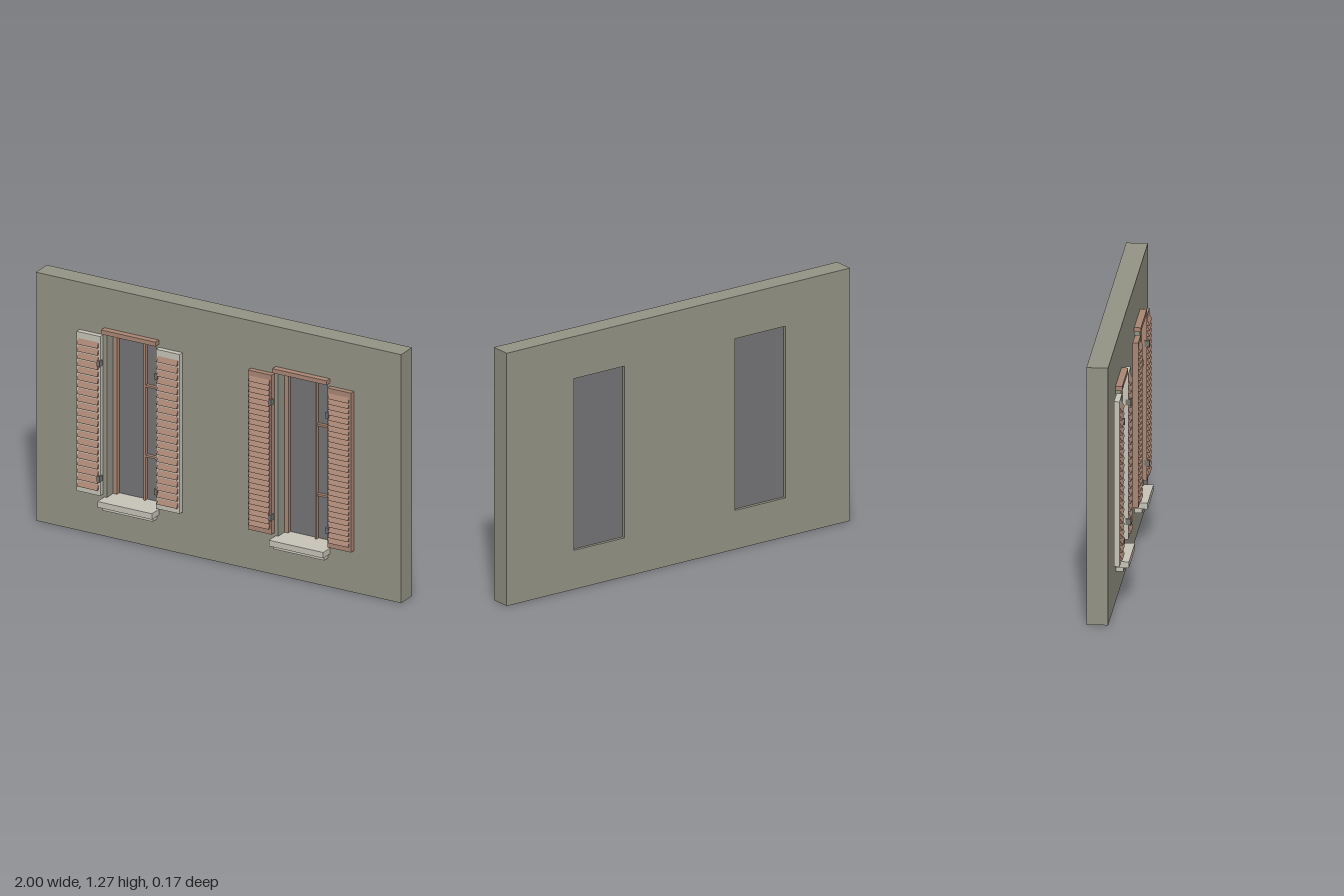
import * as THREE from 'three';

const mat = (name, color) => {
  const m = new THREE.MeshStandardMaterial({ color });
  m.name = name;
  return m;
};

export function createModel() {
  const wallMat = mat('olive grey plaster', 0x929284);
  const wood = mat('terracotta wood', 0xa98674);
  const stone = mat('pale stone', 0xc6c3b7);
  const glass = mat('grey glass', 0x747476);
  const iron = mat('hinge grey', 0x75736e);

  const model = new THREE.Group();
  model.name = 'shutteredWall';

  // Box given by its min and max corners
  const box = (parent, name, m, x0, x1, y0, y1, z0, z1) => {
    const mesh = new THREE.Mesh(new THREE.BoxGeometry(x1 - x0, y1 - y0, z1 - z0), m);
    mesh.position.set((x0 + x1) / 2, (y0 + y1) / 2, (z0 + z1) / 2);
    mesh.name = name;
    parent.add(mesh);
    return mesh;
  };

  const FRONT = 0.02, BACK = -0.083, TOP = 1.272;
  const OPEN = 0.147, JAMB = 0.135, FRAME = 0.114, SILL = 0.2, HEAD = 1.06;
  const centres = [-0.476, 0.462];

  // Wall slab with two window openings
  const slab = new THREE.Shape();
  slab.moveTo(-1, 0).lineTo(1, 0).lineTo(1, TOP).lineTo(-1, TOP).closePath();
  for (const c of centres) {
    const hole = new THREE.Path();
    hole.moveTo(c - OPEN, SILL - 0.004).lineTo(c - OPEN, HEAD).lineTo(c + OPEN, HEAD)
      .lineTo(c + OPEN, SILL - 0.004).closePath();
    slab.holes.push(hole);
  }
  const wall = new THREE.Mesh(
    new THREE.ExtrudeGeometry(slab, { depth: FRONT - BACK, bevelEnabled: false }), wallMat);
  wall.position.z = BACK;
  wall.name = 'wall';
  model.add(wall);

  // Wedge-shaped slat running along x, its lower edge leaning outwards
  const slatGeometry = (width, height) => {
    const s = new THREE.Shape();
    s.moveTo(0.05, 0).lineTo(0.064, 0).lineTo(0.064, 0.003).lineTo(0.052, height).lineTo(0.05, height);
    const g = new THREE.ExtrudeGeometry(s, { depth: width, bevelEnabled: false });
    g.translate(0, 0, -width / 2);
    g.rotateY(-Math.PI / 2);
    return g;
  };

  const addShutter = (parent, side, panelMat, slats, slatHeight) => {
    const g = new THREE.Group();
    g.name = side > 0 ? 'leftShutter' : 'rightShutter';
    g.position.x = side * 0.2175;
    parent.add(g);
    box(g, 'shutterPanel', panelMat, -0.065, 0.065, 0.216, 1.032, 0.025, 0.052);
    // Louvre slats
    const geo = slatGeometry(0.11, slatHeight);
    const pitch = 0.765 / slats;
    for (let i = 0; i < slats; i++) {
      const slat = new THREE.Mesh(geo, wood);
      slat.name = 'slat';
      slat.position.y = 0.244 + i * pitch;
      g.add(slat);
    }
    // Hinges on the edge next to the opening
    for (const y of [0.305, 0.895]) {
      const x = -side * 0.061;
      box(g, 'hinge', iron, x - 0.008, x + 0.008, y - 0.015, y + 0.015, 0.04, 0.065);
    }
  };

  const addWindow = (name, cx, panelMat, slats, slatHeight) => {
    const w = new THREE.Group();
    w.name = name;
    w.position.x = cx;
    model.add(w);

    // Lintel and stepped sill
    box(w, 'lintel', wood, -0.149, 0.149, 1.045, 1.067, FRONT - 0.005, 0.052);
    box(w, 'sill', stone, -0.149, 0.149, 0.17, SILL, FRONT - 0.005, 0.084);
    box(w, 'sillInner', stone, -JAMB, JAMB, SILL - 0.004, SILL, -0.06, FRONT);
    box(w, 'sillBase', stone, -0.138, 0.138, 0.147, 0.17, FRONT - 0.005, 0.057);

    // Plaster jambs and wooden frame
    for (const s of [-1, 1]) {
      box(w, 'jamb', wallMat, Math.min(s * JAMB, s * OPEN), Math.max(s * JAMB, s * OPEN),
        SILL, HEAD, -0.06, FRONT);
      box(w, 'frameSide', wood, Math.min(s * FRAME, s * JAMB), Math.max(s * FRAME, s * JAMB),
        SILL, HEAD, -0.06, -0.038);
    }
    box(w, 'frameHead', wood, -FRAME, FRAME, 1.042, HEAD, -0.06, -0.038);

    // Glass with its mullion and glazing bars
    box(w, 'glass', glass, -OPEN, OPEN, SILL - 0.004, HEAD, -0.067, -0.06);
    box(w, 'mullion', wood, 0.03, 0.04, SILL, 1.042, -0.06, -0.04);
    for (const y of [0.427, 0.785]) {
      box(w, 'glazingBar', wood, 0.04, FRAME, y - 0.005, y + 0.005, -0.06, -0.042);
    }

    for (const s of [-1, 1]) addShutter(w, s, panelMat, slats, slatHeight);
  };

  addWindow('rightWindow', centres[0], stone, 21, 0.027);
  addWindow('leftWindow', centres[1], wood, 28, 0.024);
  return model;
}
